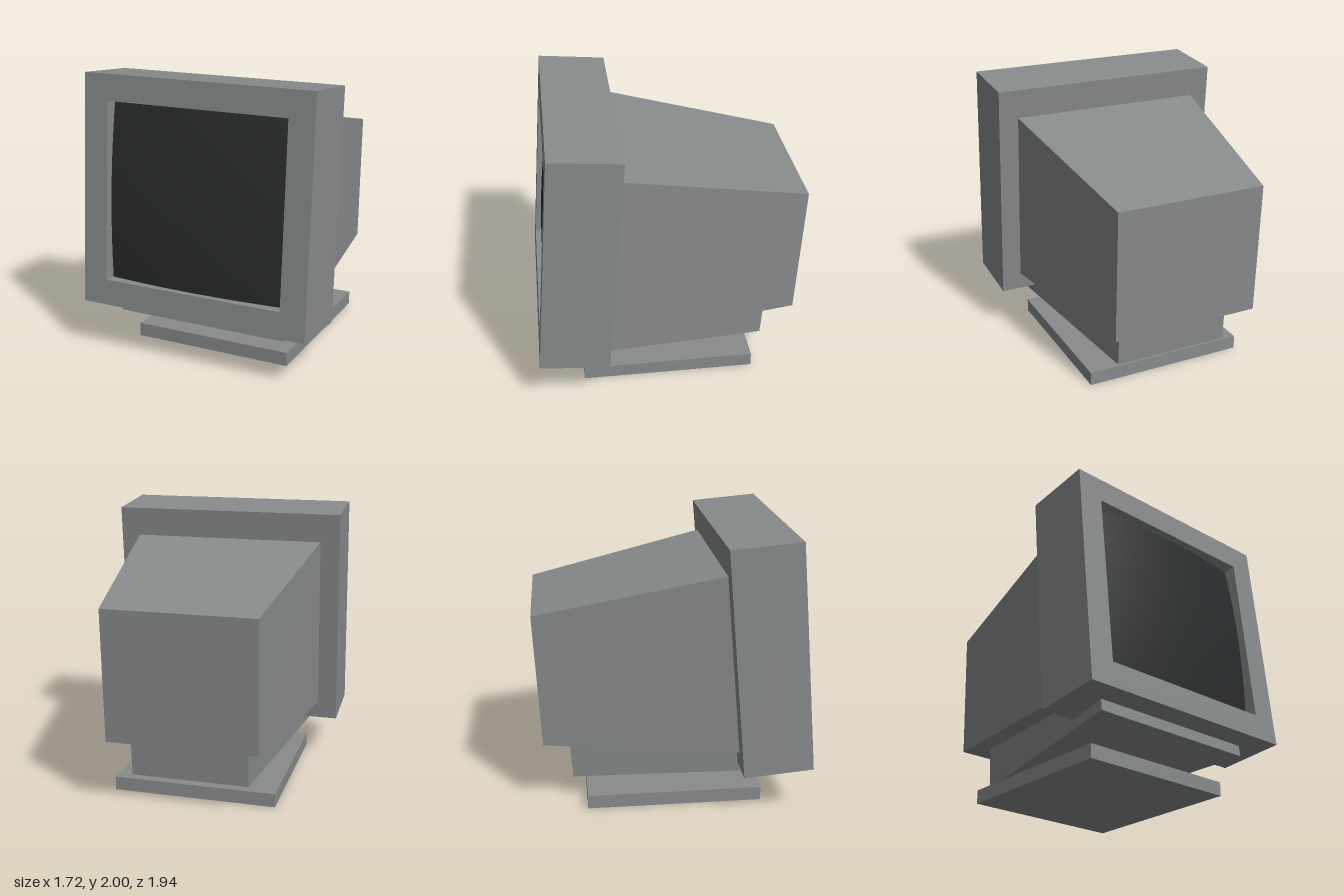
import * as THREE from 'three';

const casing = new THREE.MeshStandardMaterial({ color: 0x888b8c });
const glass = new THREE.MeshStandardMaterial({ color: 0x292c2e });

function add(parent, name, geometry, material = casing) {
  const mesh = new THREE.Mesh(geometry, material);
  mesh.name = name;
  parent.add(mesh);
  return mesh;
}

// Box whose front and back ends differ: each end has a half width and [y, z] for its bottom and top edge
function taperedBox(front, back) {
  const geometry = new THREE.BoxGeometry(2, 2, 2);
  const p = geometry.attributes.position;
  for (let i = 0; i < p.count; i++) {
    const end = p.getZ(i) > 0 ? front : back;
    const [y, z] = p.getY(i) > 0 ? end.top : end.bottom;
    p.setXYZ(i, Math.sign(p.getX(i)) * end.half, y, z);
  }
  geometry.computeVertexNormals();
  return geometry;
}

function rectangle(target, x0, y0, x1, y1) {
  target.moveTo(x0, y0).lineTo(x1, y0).lineTo(x1, y1).lineTo(x0, y1).closePath();
  return target;
}

export function createModel() {
  const model = new THREE.Group();
  model.name = 'monitor';

  // Stand: flat base and conical swivel
  add(model, 'base', new THREE.BoxGeometry(1.2, 0.1, 1.268)).position.set(0, 0.05, 0.018);
  add(model, 'swivel', new THREE.CylinderGeometry(0.165, 0.265, 0.2, 48)).position.y = 0.2;

  // Tray under the housing, narrowing to the back
  add(model, 'tray', taperedBox(
    { half: 0.647, bottom: [0.263, 0.813], top: [0.5, 0.793] },
    { half: 0.43, bottom: [0.178, -0.714], top: [0.55, -0.741] },
  ));

  // Rear housing for the tube, reaching a little into the head
  add(model, 'housing', taperedBox(
    { half: 0.724, bottom: [0.441, 0.53], top: [1.755, 0.4] },
    { half: 0.547, bottom: [0.495, -0.922], top: [1.457, -0.97] },
  ));

  // Tilted head: its origin is the lower edge of the front face
  const head = new THREE.Group();
  head.name = 'head';
  head.position.set(0, 0.356, 0.972);
  head.rotation.x = -0.085;
  model.add(head);

  const height = 1.65, depth = 0.498, rim = 0.2;

  // Front frame with the screen opening
  const frame = rectangle(new THREE.Shape(), -0.862, 0, 0.862, height);
  frame.holes.push(rectangle(new THREE.Path(), -0.677, 0.184, 0.677, 1.464));
  add(head, 'frontFrame', new THREE.ExtrudeGeometry(frame, { depth: rim, bevelEnabled: false }))
    .position.z = -rim;

  // Solid part of the front behind the frame
  add(head, 'frontShell', new THREE.BoxGeometry(1.724, height, depth - rim))
    .position.set(0, height / 2, -(depth + rim) / 2);

  // Bulging screen
  const screen = new THREE.PlaneGeometry(1.354, 1.28, 24, 24);
  const p = screen.attributes.position;
  for (let i = 0; i < p.count; i++) {
    p.setZ(i, -0.016 - (p.getX(i) ** 2 + p.getY(i) ** 2) / 11);
  }
  screen.computeVertexNormals();
  add(head, 'screen', screen, glass).position.y = 0.824;

  return model;
}
